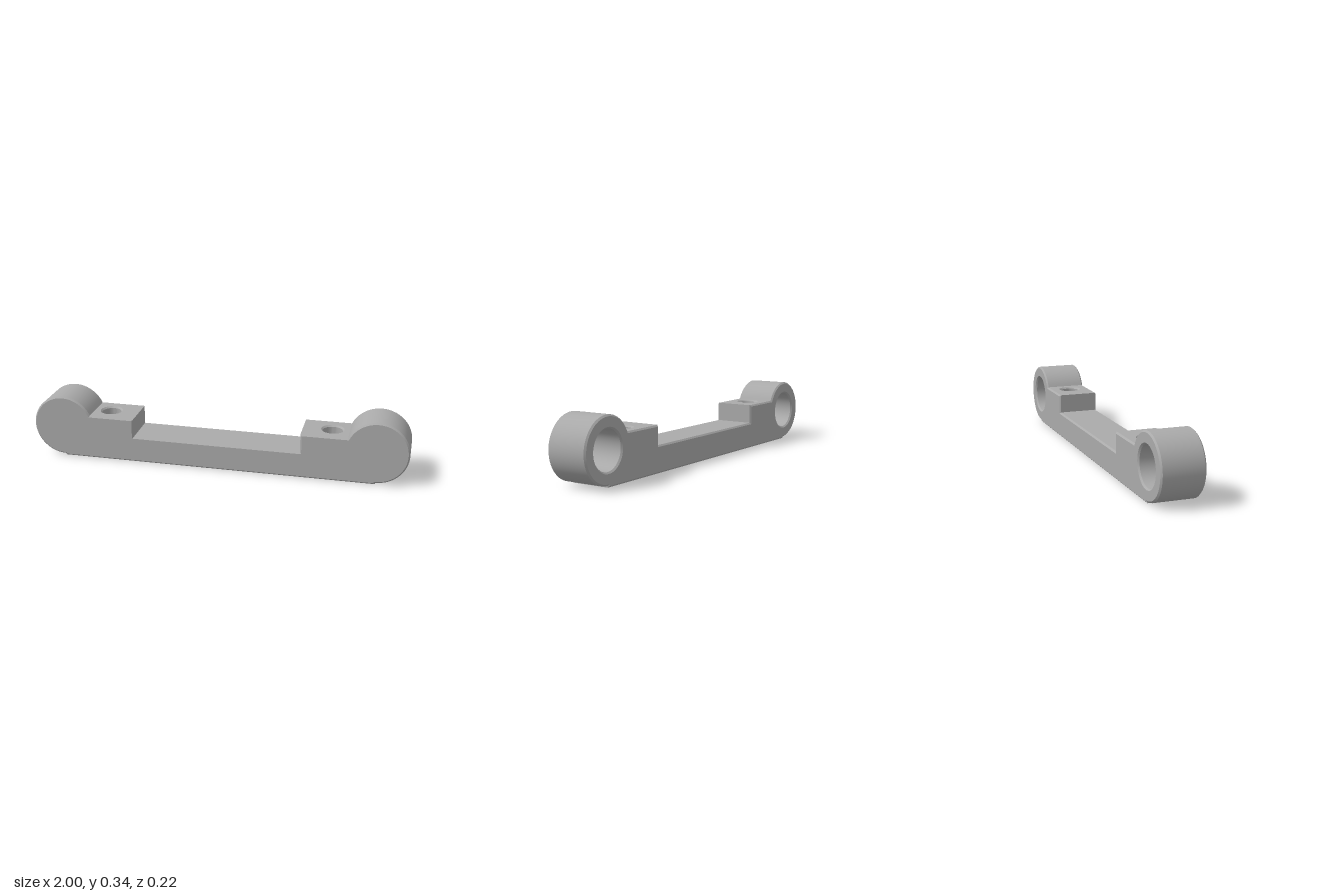
import * as THREE from 'three';
import { toCreasedNormals } from 'three/addons/utils/BufferGeometryUtils.js';

const HALF = 0.11, CHAMFER = 0.008;               // half depth, edge chamfer
const BOSS = { x: 0.836, y: 0.172, r: 0.164 };    // rounded ends
const SHOULDER = 0.24, WAIST = 0.14, STEP_X = 0.445;
const BOLT_X = 0.598, BOLT_R = 0.052, BORE_R = 0.1;

// Closed side profile, anticlockwise from the bottom right corner
function profile() {
  const right = [new THREE.Vector2(BOSS.x, 0)];
  const end = Math.PI - Math.asin((SHOULDER - BOSS.y) / BOSS.r);
  for (let i = 0; i <= 40; i++) {
    const a = -Math.PI / 2 + (end + Math.PI / 2) * i / 40;
    right.push(new THREE.Vector2(BOSS.x + BOSS.r * Math.cos(a), BOSS.y + BOSS.r * Math.sin(a)));
  }
  right.push(new THREE.Vector2(STEP_X, SHOULDER), new THREE.Vector2(STEP_X, WAIST));
  const left = right.map(p => new THREE.Vector2(-p.x, p.y)).reverse();
  return [...right, ...left];
}

// Move every corner inward by d along its mitre
function inset(points, d) {
  const n = points.length;
  return points.map((p, i) => {
    const e = p.clone().sub(points[(i + n - 1) % n]).normalize();
    const f = points[(i + 1) % n].clone().sub(p).normalize();
    const a = new THREE.Vector2(-e.y, e.x), b = new THREE.Vector2(-f.y, f.x);
    const k = d / (1 + a.dot(b));
    return p.clone().add(a.add(b).multiplyScalar(k));
  });
}

function circle(x, y, r) {
  return new THREE.Path().absarc(x, y, r, 0, Math.PI * 2, true);
}

function lathe(pairs) {
  const g = new THREE.LatheGeometry(pairs.map(p => new THREE.Vector2(...p)), 48);
  return toCreasedNormals(g, 0.5);
}

export function createModel() {
  const group = new THREE.Group();
  const metal = new THREE.MeshStandardMaterial({ color: 0xaaaaaa, side: THREE.DoubleSide });
  metal.name = 'plain grey';
  const add = (geometry, name) => {
    const mesh = new THREE.Mesh(geometry, metal);
    mesh.name = name;
    group.add(mesh);
    return mesh;
  };

  const outline = profile(), inner = inset(outline, CHAMFER);
  const zw = HALF - CHAMFER;
  const rings = [[inner, HALF], [outline, zw], [outline, -zw], [inner, -HALF]];
  const pos = [];

  outline.forEach((a, i) => {
    const j = (i + 1) % outline.length, b = outline[j];
    const flat = Math.abs(a.y - b.y) < 1e-6;
    const drilled = flat && (Math.abs(a.y - SHOULDER) < 1e-6 || a.y === 0);

    // Walls and chamfers; drilled faces are made as plates instead
    for (let k = 0; k < 3; k++) {
      if (drilled && k === 1) continue;
      const [r0, z0] = rings[k], [r1, z1] = rings[k + 1];
      const A = [r0[i].x, r0[i].y, z0], B = [r1[i].x, r1[i].y, z1];
      const C = [r1[j].x, r1[j].y, z1], D = [r0[j].x, r0[j].y, z0];
      pos.push(...A, ...B, ...C, ...A, ...C, ...D);
    }
    if (!drilled) return;

    // Flat face with bolt openings
    const x0 = Math.min(a.x, b.x), x1 = Math.max(a.x, b.x);
    const shape = new THREE.Shape([[x0, -zw], [x1, -zw], [x1, zw], [x0, zw]].map(p => new THREE.Vector2(...p)));
    for (const x of [-BOLT_X, BOLT_X]) {
      if (x > x0 && x < x1) shape.holes.push(circle(x, 0, BOLT_R + CHAMFER));
    }
    const plate = new THREE.ShapeGeometry(shape, 24);
    plate.rotateX(a.y === 0 ? Math.PI / 2 : -Math.PI / 2).translate(0, a.y, 0);
    add(plate, a.y === 0 ? 'underside' : 'shoulderTop');
  });

  const walls = new THREE.BufferGeometry();
  walls.setAttribute('position', new THREE.Float32BufferAttribute(pos, 3));
  add(toCreasedNormals(walls, 0.4), 'barEdges');

  // Closed front face, and back face with bore openings
  add(new THREE.ShapeGeometry(new THREE.Shape(inner)).translate(0, 0, HALF), 'frontFace');
  const back = new THREE.Shape(inner);
  for (const s of [-1, 1]) back.holes.push(circle(s * BOSS.x, BOSS.y, BORE_R + CHAMFER));
  add(new THREE.ShapeGeometry(back, 24).rotateY(Math.PI).translate(0, 0, -HALF), 'backFace');

  // Countersunk bolt holes and blind bores
  const bolt = lathe([
    [BOLT_R + CHAMFER, 0], [BOLT_R, CHAMFER],
    [BOLT_R, SHOULDER - CHAMFER], [BOLT_R + CHAMFER, SHOULDER],
  ]);
  const bore = lathe([
    [BORE_R + CHAMFER, -HALF], [BORE_R, -HALF + CHAMFER], [BORE_R, 0.08], [0, 0.08],
  ]).rotateX(Math.PI / 2);
  for (const [s, side] of [[1, 'left'], [-1, 'right']]) {
    add(bolt, side + 'BoltHole').position.x = s * BOLT_X;
    add(bore, side + 'Bore').position.set(s * BOSS.x, BOSS.y, 0);
  }
  return group;
}
